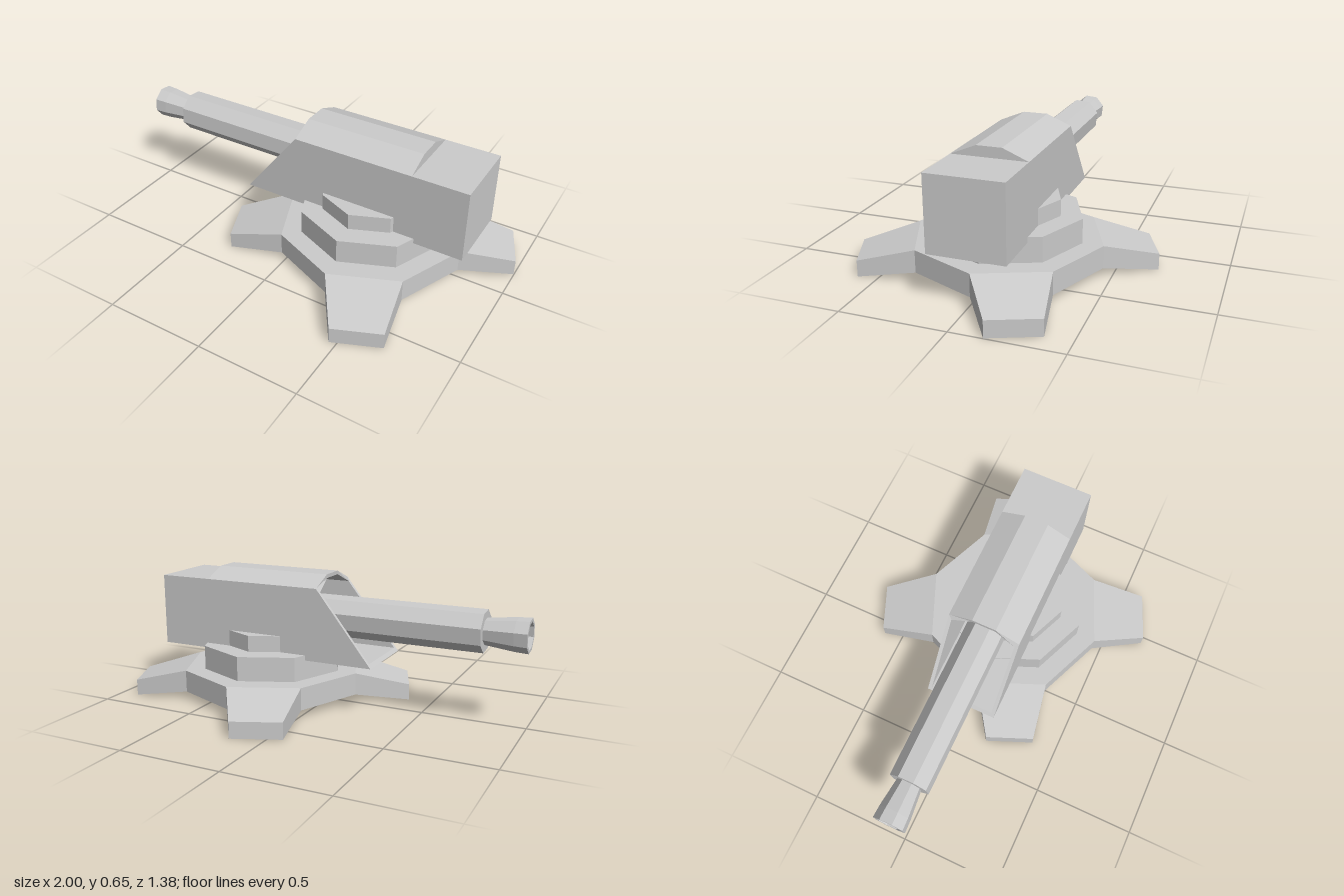
import * as THREE from 'three';

const CX = 0.31; // turret pivot
const mat = new THREE.MeshStandardMaterial({ color: 0xcccccc, flatShading: true, side: THREE.DoubleSide });

function add(group, name, geometry) {
  const mesh = new THREE.Mesh(geometry, mat);
  mesh.name = name;
  group.add(mesh);
  return mesh;
}

// Flat-sided geometry from convex polygons, fanned into triangles
function fromPolygons(polygons) {
  const pos = [];
  for (const p of polygons)
    for (let i = 1; i < p.length - 1; i++) pos.push(...p[0], ...p[i], ...p[i + 1]);
  const g = new THREE.BufferGeometry();
  g.setAttribute('position', new THREE.Float32BufferAttribute(pos, 3));
  g.computeVertexNormals();
  return g;
}

// Quads joining successive closed rings
function loft(rings) {
  const out = [];
  for (let r = 0; r < rings.length - 1; r++) {
    const a = rings[r], b = rings[r + 1];
    a.forEach((p, i) => {
      const j = (i + 1) % a.length;
      out.push([p, b[i], b[j], a[j]]);
    });
  }
  return out;
}

const cappedLoft = (rings) =>
  fromPolygons([...loft(rings), rings[0], [...rings[rings.length - 1]].reverse()]);

// Hollow octagonal foot with four sloping legs
function footGeometry() {
  const polar = (deg, r, y) => {
    const a = THREE.MathUtils.degToRad(deg);
    return [CX + r * Math.cos(a), y, r * Math.sin(a)];
  };
  const top = [], bottom = [], deck = [], legTops = [];
  for (let k = 0; k < 4; k++) {
    const mid = -22.5 + 90 * k;
    const spots = [[-22.5, 0.46], [-9.8, 0.705], [9.8, 0.705], [22.5, 0.46]];
    const leg = spots.map(([d, r]) => polar(mid + d, r, r > 0.5 ? 0.08 : 0.15));
    top.push(...leg);
    bottom.push(...spots.map(([d, r]) => polar(mid + d, r, r > 0.5 ? 0 : 0.04)));
    deck.push(leg[0], leg[3]);
    legTops.push([...leg].reverse());
  }
  return fromPolygons([...loft([bottom, top]), deck.reverse(), ...legTops]);
}

// Housing: ridged box with a slanted open front and a hollow inside
function housingGeometry() {
  const section = (xAt, inset = 0, ridge = 0.65) => {
    const z0 = -0.195 + inset, z1 = 0.165 - inset, lo = 0.245 + inset;
    return [[lo, z0], [lo, z1], [0.6 - inset, z1], [ridge - inset, 0.045], [ridge - inset, -0.075], [0.6 - inset, z0]]
      .map(([y, z]) => [xAt(y), y, z]);
  };
  const slant = (y) => Math.min(-0.03, -0.31 + (y - 0.245) * 0.79);
  return cappedLoft([
    section(() => 0.55, 0.018),
    section(slant, 0.018),
    section(slant),
    section(() => 0.57),
    section(() => 0.57, 0, 0.6),
    section(() => 0.84, 0, 0.6),
  ]);
}

// Eight-sided barrel with a flared, hollow muzzle
function barrelGeometry() {
  const ring = ([x, r]) => Array.from({ length: 8 }, (_, i) => {
    const a = THREE.MathUtils.degToRad(28 + 45 * i);
    return [x, 0.443 + r * Math.sin(a), -0.03 + r * Math.cos(a)];
  });
  return cappedLoft([
    [-0.82, 0.05], [-0.94, 0.062], [-1, 0.064], [-1, 0.081], [-0.94, 0.078],
    [-0.8, 0.062], [-0.8, 0.1], [0.35, 0.1],
  ].map(ring));
}

export function createModel() {
  const model = new THREE.Group();
  model.name = 'gunTurret';

  add(model, 'foot', footGeometry());

  // Stacked octagonal turntable
  for (const [name, r, y0, y1] of [['lowerTurntable', 0.36, 0.15, 0.27], ['upperTurntable', 0.255, 0.27, 0.35]])
    add(model, name, new THREE.CylinderGeometry(r, r, y1 - y0, 8)).position.set(CX, (y0 + y1) / 2, 0);

  // Open tube under the foot
  add(model, 'centrePin', new THREE.CylinderGeometry(0.1, 0.1, 0.14, 8, 1, true)).position.set(CX, 0.08, -0.01);

  add(model, 'housing', housingGeometry());
  add(model, 'barrel', barrelGeometry());
  return model;
}
